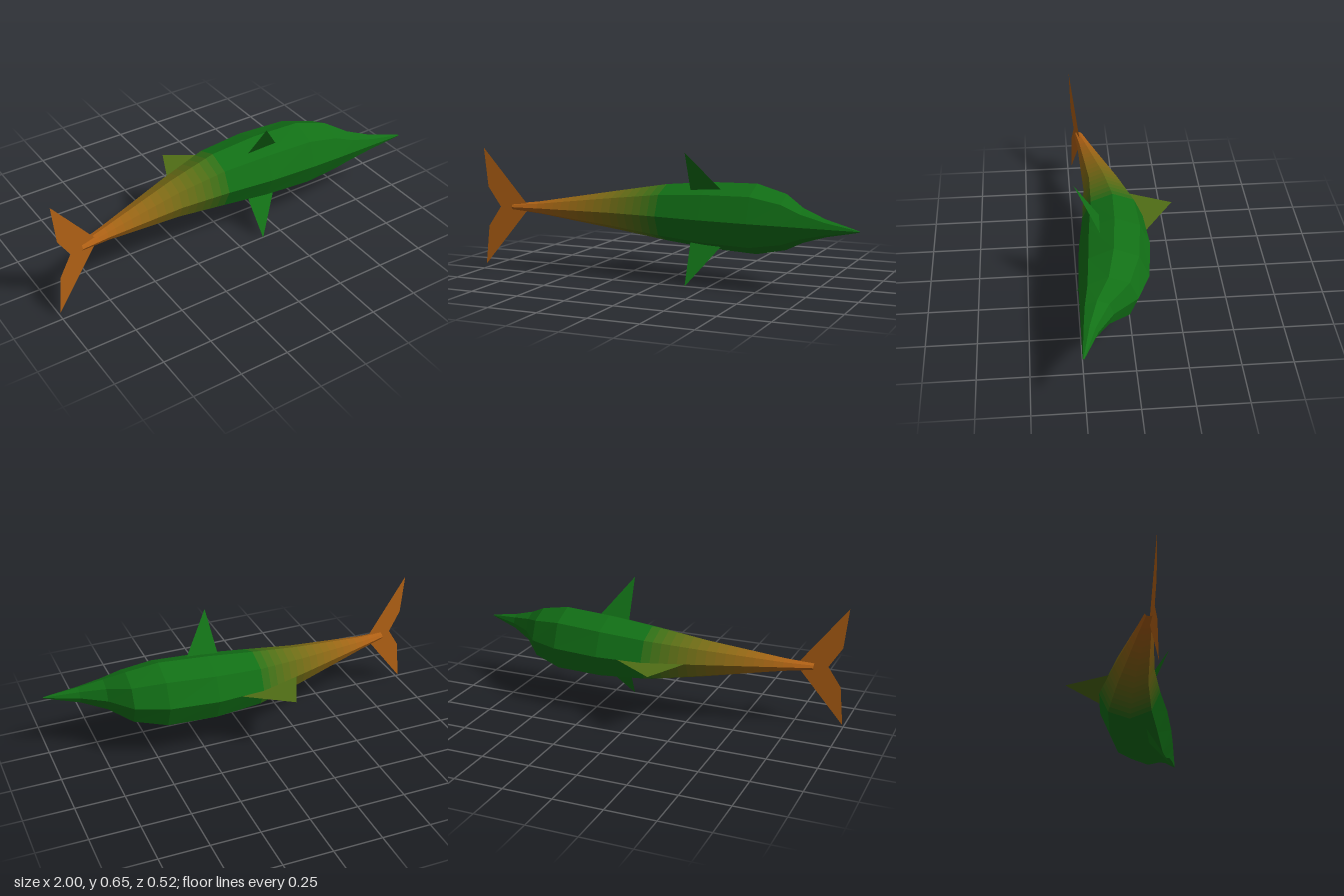
import * as THREE from 'three';

const MID = 0.328; // height of the body's symmetry plane
const GREEN = new THREE.Color(0x127016);
const ORANGE = new THREE.Color(0xb06014);

// body stations, tail to snout: x, z of back, z of belly, half width
const STATIONS = [
  [-0.85, 0.165, 0.212, 0.016],
  [-0.71, 0.118, 0.2, 0.032],
  [-0.3, -0.02, 0.188, 0.1],
  [-0.04, -0.1, 0.208, 0.143],
  [0.2, -0.115, 0.237, 0.166],
  [0.45, -0.086, 0.252, 0.173],
  [0.61, -0.02, 0.256, 0.135],
  [0.71, 0.1, 0.257, 0.083],
  [0.83, 0.18, 0.258, 0.042],
  [0.97, 0.24, 0.26, 0.01],
  [1.0, 0.253, 0.26, 0.002],
];
const SIDES = 8;

// orange at the tail, fading to green at mid body
function tint(x) {
  const t = THREE.MathUtils.clamp((-0.02 - x) / 0.75, 0, 1);
  return GREEN.clone().lerp(ORANGE, t);
}

function mesh(name, points, color, side = THREE.FrontSide) {
  const geometry = new THREE.BufferGeometry();
  geometry.setAttribute('position', new THREE.Float32BufferAttribute(points.flat(), 3));
  geometry.computeVertexNormals();
  const m = new THREE.Mesh(geometry, new THREE.MeshStandardMaterial({ color, flatShading: true, side }));
  m.name = name;
  return m;
}

// octagonal cross-section
function ring([x, back, belly, r]) {
  return Array.from({ length: SIDES }, (_, i) => {
    const a = (i / SIDES) * Math.PI * 2;
    return [x, MID + r * Math.sin(a), (back + belly) / 2 + ((belly - back) / 2) * Math.cos(a)];
  });
}

function band(name, from, to) {
  const a = ring(from), b = ring(to), points = [];
  for (let i = 0; i < SIDES; i++) {
    const j = (i + 1) % SIDES;
    points.push(a[i], b[i], b[j], a[i], b[j], a[j]);
  }
  return mesh(name, points, tint((from[0] + to[0]) / 2));
}

function cap(name, station, flip) {
  const r = ring(station), points = [];
  for (let i = 1; i < SIDES - 1; i++) {
    points.push(r[0], ...(flip ? [r[i + 1], r[i]] : [r[i], r[i + 1]]));
  }
  return mesh(name, points, tint(station[0]));
}

export function createModel() {
  const model = new THREE.Group();
  model.name = 'dolphin';

  // body, with the tail stock cut into thin bands for the colour fade
  const body = new THREE.Group();
  body.name = 'body';
  for (let s = 0; s < STATIONS.length - 1; s++) {
    const p = STATIONS[s], q = STATIONS[s + 1];
    const steps = p[0] < -0.1 ? Math.ceil((q[0] - p[0]) / 0.05) : 1;
    const at = (t) => p.map((v, k) => v + (q[k] - v) * t);
    for (let i = 0; i < steps; i++) body.add(band('bodyBand', at(i / steps), at((i + 1) / steps)));
  }
  body.add(cap('tailEnd', STATIONS[0], true));
  body.add(cap('snoutTip', STATIONS[STATIONS.length - 1], false));
  model.add(body);

  // dorsal fin, a thin blade on the back
  model.add(mesh('dorsalFin', [
    [-0.25, MID, -0.03], [0.11, MID, -0.09], [-0.145, MID, -0.26],
  ], tint(-0.15), THREE.DoubleSide));

  // mirrored flippers and tail flukes
  for (const [label, s] of [['upper', 1], ['lower', -1]]) {
    model.add(mesh(label + 'Flipper', [
      [0.12, MID + s * 0.13, 0.13], [0.29, MID + s * 0.13, 0.13], [0.14, MID + s * 0.326, 0.253],
    ], GREEN, THREE.DoubleSide));

    const fluke = (x, y) => [x, MID + s * y, 0.2275 - 0.19 * (x + 1)];
    const root = fluke(-0.76, 0), notch = fluke(-0.915, 0);
    const shoulder = fluke(-0.785, 0.032), inner = fluke(-0.98, 0.103), tip = fluke(-1, 0.306);
    model.add(mesh(label + 'Fluke', [
      root, shoulder, notch, notch, shoulder, inner, inner, shoulder, tip,
    ], ORANGE, THREE.DoubleSide));
  }
  return model;
}
